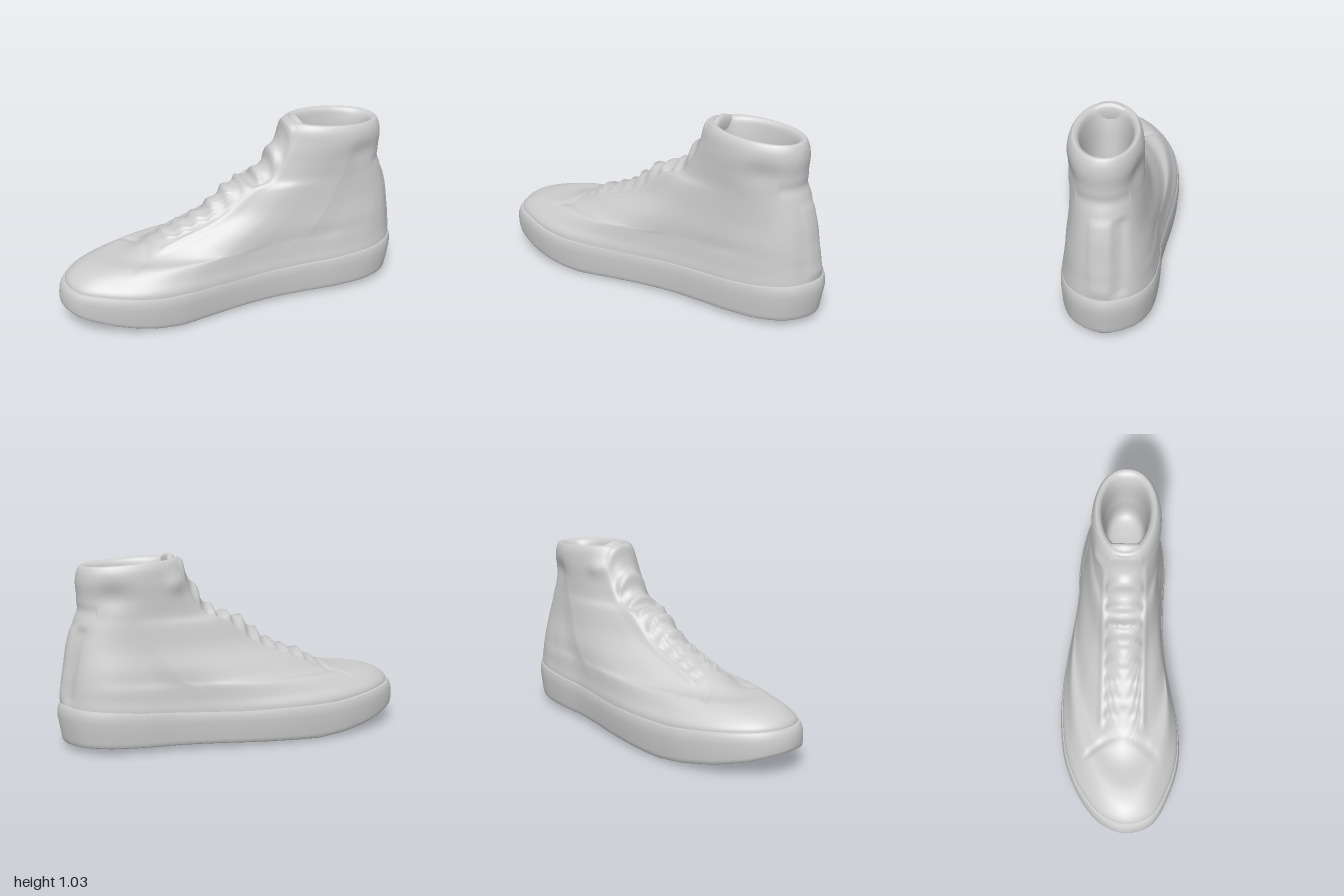
import * as THREE from 'three';

const mat = new THREE.MeshStandardMaterial({ color: 0xcccccc, side: THREE.DoubleSide });
const V = (x, y, z) => new THREE.Vector3(x, y, z);
const bump = (d, width) => Math.exp(-((d / width) ** 2));
const smooth = THREE.MathUtils.smoothstep;
const N = 240, STEPS = 8;

// Footprint seen from above: toe at -x, heel at +x, ordered toe, +z side, heel, -z side
const footprint = new THREE.CatmullRomCurve3([
  [-1, 0.04], [-0.95, 0.19], [-0.8, 0.28], [-0.6, 0.337], [-0.4, 0.337], [-0.2, 0.3], [0, 0.262], [0.2, 0.243],
  [0.4, 0.244], [0.6, 0.25], [0.8, 0.225], [0.93, 0.15], [1, 0], [0.93, -0.16], [0.8, -0.24], [0.6, -0.272],
  [0.4, -0.275], [0.2, -0.3], [0, -0.33], [-0.2, -0.349], [-0.4, -0.346], [-0.6, -0.315], [-0.8, -0.23], [-0.95, -0.1],
].map(([x, z]) => V(x, 0, z)), true, 'centripetal').getSpacedPoints(N).slice(0, N);
const heelIndex = footprint.reduce((best, p, i) => (p.x > footprint[best].x ? i : best), 0);

// Linear lookup in a short list of [x, value]
function lookup(table, x) {
  for (let i = 1; i < table.length; i++) {
    const [x0, a] = table[i - 1], [x1, b] = table[i];
    if (x <= x1) return a + (b - a) * Math.max(0, (x - x0) / (x1 - x0));
  }
  return table[table.length - 1][1];
}

// Skin a list of closed rings of N points
function loft(name, rings) {
  const pos = [], idx = [];
  rings.forEach(r => r.forEach(p => pos.push(p.x, p.y, p.z)));
  for (let r = 0; r < rings.length - 1; r++) {
    for (let i = 0; i < N; i++) {
      const a = r * N + i, b = r * N + (i + 1) % N, c = a + N, d = b + N;
      idx.push(a, b, d, a, d, c);
    }
  }
  const g = new THREE.BufferGeometry();
  g.setAttribute('position', new THREE.Float32BufferAttribute(pos, 3));
  g.setIndex(idx);
  g.computeVertexNormals();
  const m = new THREE.Mesh(g, mat);
  m.name = name;
  return m;
}

// Sole: underside with toe spring, then a rounded wall up to its lip
const under = [[-1, 0.12], [-0.9, 0.082], [-0.75, 0.045], [-0.55, 0.014], [-0.4, 0], [-0.2, 0.006], [0.2, 0.016], [1, 0.028]];
const lip = [[-1, 0.24], [-0.8, 0.225], [-0.5, 0.2], [0, 0.195], [0.5, 0.21], [1, 0.245]];
function makeSole() {
  // [z scale, heel x scale, toe x scale, height fraction from underside to lip]
  const rows = [[0, 0.96, 0.98, 0], [0.4, 0.96, 0.98, 0], [0.8, 0.965, 0.985, 0.01], [0.94, 0.97, 0.992, 0.04],
    [0.963, 0.977, 0.998, 0.08], [0.975, 0.981, 1, 0.18], [0.987, 0.99, 1, 0.42], [1, 1, 0.995, 0.7],
    [0.993, 0.998, 0.987, 0.86], [0.98, 0.992, 0.978, 0.97], [0.967, 0.985, 0.97, 1.02], [0.9, 0.94, 0.94, 1]];
  return loft('sole', rows.map(([kz, heel, toe, h]) => footprint.map(p => {
    const lo = lookup(under, p.x), hi = lookup(lip, p.x);
    return V(p.x * (p.x < 0 ? toe : heel), lo + (hi - lo) * h, p.z * kz);
  })));
}

// Relief on the outside of the upper
function addRelief(p) {
  const { x, y, z } = p, off = Math.abs(z - 0.01);
  // Hollows below the padded collar, deeper on the -z side
  const hollow = bump(x - 0.72, 0.1) * bump(y - 0.83, 0.07);
  p.z *= 1 - hollow * (z < 0 ? 0.13 : 0.08);
  // Flap at the top of the lacing
  if (z < 0) p.z -= 0.02 * bump(x - 0.36, 0.06) * bump(y - 0.89, 0.05);
  // Laces across the throat, with a ridge for the stay at each end
  if (x > -0.5 && x < 0.4 && y > 0.3) {
    const along = smooth(x, -0.48, -0.4) * (1 - smooth(x, 0.27, 0.36));
    const lace = 0.5 + 0.5 * Math.cos((x + 0.39 - 0.8 * off * off) / 0.088 * Math.PI * 2);
    const inside = 1 - smooth(off, 0.085, 0.11);
    const h = along * (inside * (0.026 * lace * lace - 0.008) + 0.01 * bump(off - 0.12, 0.014));
    p.x -= h * 0.55;
    p.y += h * 0.83;
  }
  // Toe cap seam
  if (off < 0.23 && y > 0.25) p.y -= 0.012 * bump(x + 0.5 + 2.6 * off * off, 0.016) * (1 - smooth(off, 0.17, 0.23));
  // Raised strip up the heel with a shallow groove beside it, and the seam under the collar
  if (x > 0.8) {
    const span = smooth(y, 0.24, 0.3) * (1 - smooth(y, 0.63, 0.68));
    const strip = smooth(z, -0.055, -0.035) * (1 - smooth(z, 0.065, 0.085));
    p.x += span * (0.008 * strip - 0.014 * bump(z + 0.085, 0.03)) - 0.008 * bump(y - 0.75, 0.03);
  }
}

// Upper: rings follow the instep at the front and the heel at the back, then fold into the opening
function makeUpper() {
  // [front x, front y, back x, back y, front width scale, back width scale, blend from footprint to oval]
  const rows = [
    [-0.955, 0.2, 0.982, 0.2, 0.965, 0.97, 0], [-0.962, 0.25, 0.983, 0.25, 0.945, 0.965, 0],
    [-0.905, 0.3, 0.977, 0.3, 0.83, 0.935, 0], [-0.8, 0.332, 0.97, 0.34, 0.7, 0.905, 0],
    [-0.62, 0.345, 0.963, 0.39, 0.6, 0.88, 0.1], [-0.45, 0.42, 0.952, 0.45, 0.5, 0.86, 0.25],
    [-0.2, 0.525, 0.933, 0.56, 0.46, 0.79, 0.5], [-0.02, 0.665, 0.905, 0.66, 0.46, 0.745, 0.7],
    [0.1, 0.7, 0.885, 0.73, 0.5, 0.725, 0.85], [0.19, 0.785, 0.875, 0.81, 0.58, 0.725, 0.95],
    [0.26, 0.9, 0.879, 0.9, 0.65, 0.725, 1], [0.3, 0.985, 0.868, 0.955, 0.64, 0.67, 1],
    [0.33, 1.012, 0.85, 0.982, 0.58, 0.6, 1], [0.365, 1, 0.82, 0.972, 0.5, 0.52, 1],
    [0.39, 0.94, 0.795, 0.92, 0.45, 0.47, 1], [0.42, 0.75, 0.785, 0.75, 0.4, 0.43, 1],
    [0.44, 0.6, 0.77, 0.6, 0.33, 0.36, 1], [0.55, 0.57, 0.65, 0.57, 0.1, 0.1, 1], [0.6, 0.57, 0.6, 0.57, 0, 0, 1],
  ];
  const steps = (rows.length - 1) * STEPS;
  const columns = footprint.map((p, i) => {
    const s = (p.x + 1) / 2, w = Math.min(1, s * 1.6);
    const side = i === 0 || i === heelIndex ? 0 : i < heelIndex ? 1 : -1;
    const oval = side * 0.272 * Math.max(0, 4 * s * (1 - s)) ** 0.45 + 0.018;
    const pts = rows.map(([xf, yf, xb, yb, kf, kb, blend], r) => V(
      xf + (xb - xf) * s,
      yf + (yb - yf) * s - (r < 3 ? 0.035 * Math.sin(Math.PI * s) : 0),
      (p.z + (oval - p.z) * blend) * (kf + (kb - kf) * w)));
    return new THREE.CatmullRomCurve3(pts, false, 'centripetal').getPoints(steps);
  });
  const rings = [];
  for (let r = 0; r <= steps; r++) rings.push(columns.map(c => c[r]));
  rings.slice(0, 11 * STEPS + 4).forEach(ring => ring.forEach(addRelief));
  return loft('upper', rings);
}

// Tongue top, curved round the ankle and standing just above the collar
function makeTongue() {
  const g = new THREE.SphereGeometry(1, 32, 20);
  g.scale(0.042, 0.11, 0.145);
  const p = g.attributes.position;
  for (let i = 0; i < p.count; i++) p.setX(i, p.getX(i) + 2.5 * p.getZ(i) ** 2);
  g.computeVertexNormals();
  const tongue = new THREE.Mesh(g, mat);
  tongue.name = 'tongue';
  tongue.position.set(0.34, 0.925, 0.01);
  tongue.rotation.z = -0.3;
  return tongue;
}

export function createModel() {
  const shoe = new THREE.Group();
  shoe.name = 'highTopShoe';
  shoe.add(makeSole(), makeUpper(), makeTongue());
  return shoe;
}
